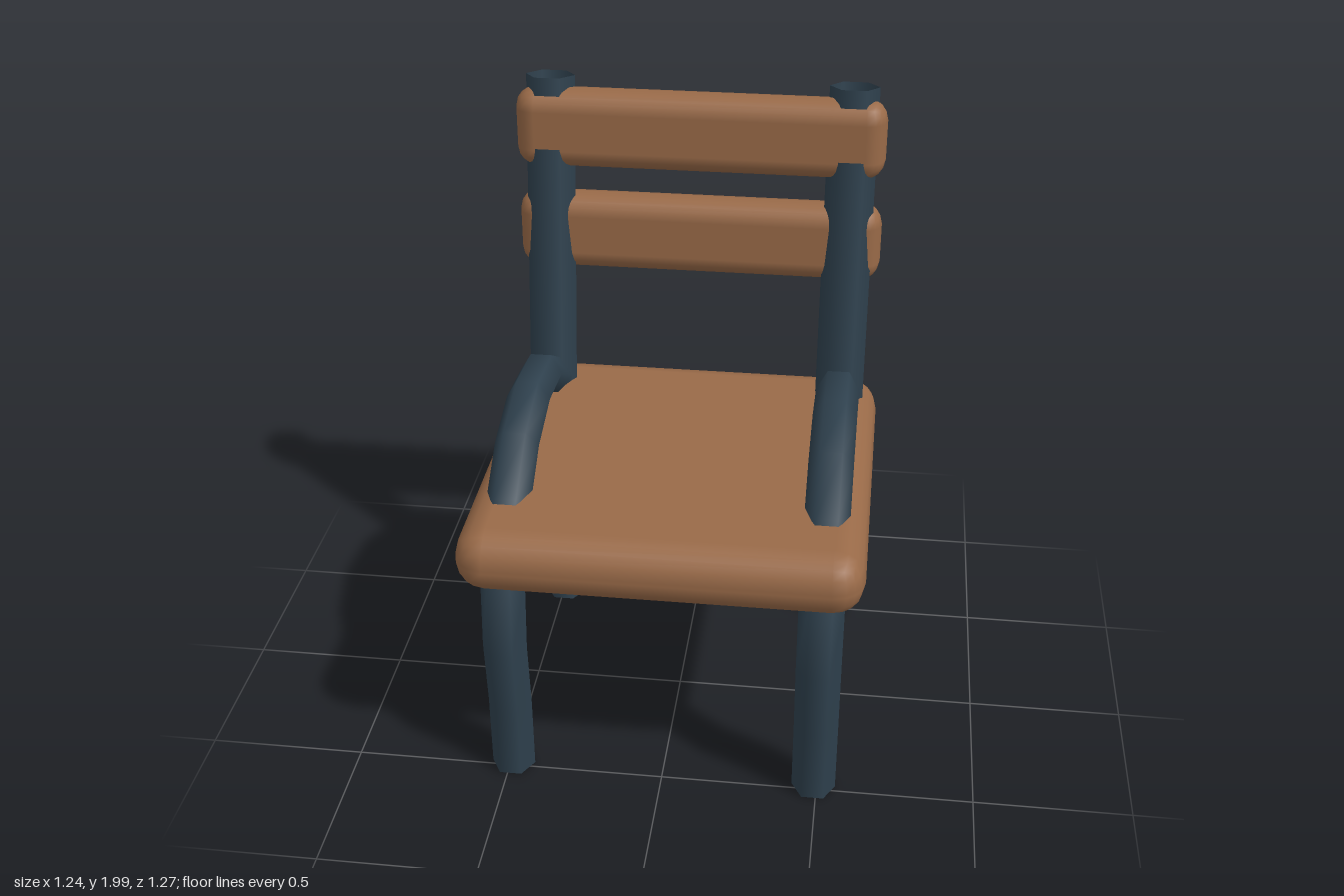
import * as THREE from 'three';
import { RoundedBoxGeometry } from 'three/addons/geometries/RoundedBoxGeometry.js';

export function createModel() {
  const wood = new THREE.MeshStandardMaterial({ color: 0x996a48 });
  wood.name = 'brown wood';
  const metal = new THREE.MeshStandardMaterial({ color: 0x2f414e, side: THREE.DoubleSide });
  metal.name = 'dark blue metal';

  const chair = new THREE.Group();
  chair.name = 'chair';

  function add(name, geometry, material, x, y, z) {
    const mesh = new THREE.Mesh(geometry, material);
    mesh.name = name;
    mesh.position.set(x, y, z);
    chair.add(mesh);
    return mesh;
  }

  // Open six-sided tube in the y-z plane with one ring at every [z, y] point
  function hexTube(points, radius) {
    const curve = new THREE.CatmullRomCurve3(points.map(([z, y]) => new THREE.Vector3(0, y, z)));
    curve.getPointAt = (t, target) => curve.getPoint(t, target);
    curve.getTangentAt = (t, target) => curve.getTangent(t, target);
    return new THREE.TubeGeometry(curve, points.length - 1, radius, 6, false);
  }

  // Seat and back slats
  add('seat', new RoundedBoxGeometry(1.235, 0.205, 1.23, 2, 0.097), wood, 0, 0.858, 0.02);
  add('upperSlat', new RoundedBoxGeometry(1.2, 0.26, 0.14, 2, 0.066), wood, 0, 1.828, -0.532);
  add('lowerSlat', new RoundedBoxGeometry(1.2, 0.26, 0.14, 2, 0.066), wood, 0, 1.472, -0.534);

  // Front leg, armrest and back leg are one bent tube on each side
  const sideFrame = hexTube([
    [0.48, 0.01], [0.485, 0.265], [0.512, 0.504], [0.49, 0.75], [0.36, 0.93],
    [0.196, 1.05], [0, 1.106], [-0.207, 1.087], [-0.385, 0.985],
    [-0.525, 0.8], [-0.544, 0.55], [-0.507, 0.28], [-0.496, 0.012],
  ], 0.07);

  // Leaning back posts
  const post = hexTube([[-0.413, 0.9], [-0.562, 1.99]], 0.08);

  for (const [side, x] of [['left', 0.49], ['right', -0.49]]) {
    add(side + 'LegsAndArmrest', sideFrame, metal, x, 0, 0);
    add(side + 'BackPost', post, metal, x, 0, 0);
  }
  return chair;
}
